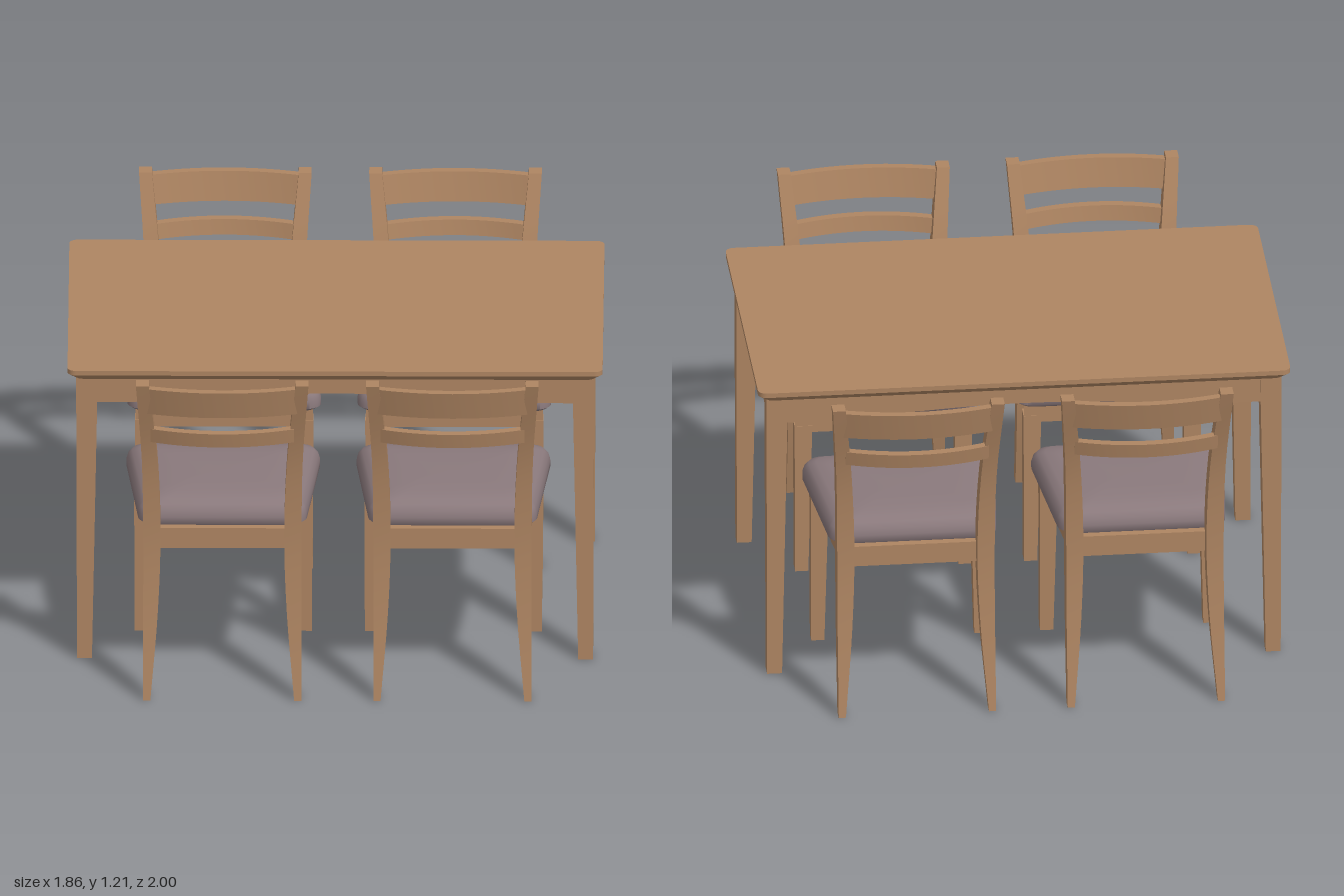
import * as THREE from 'three';
import { toCreasedNormals } from 'three/addons/utils/BufferGeometryUtils.js';

const wood = new THREE.MeshStandardMaterial({ color: 0xae8562 });
const fabric = new THREE.MeshStandardMaterial({ color: 0x8a797c });
const V = (x, y, z) => new THREE.Vector3(x, y, z);

// Skin a row of closed rings (each counter-clockwise about the travel direction) and cap both ends
function loft(rings, crease = 0.6) {
  const n = rings[0].length, last = rings.length - 1, pos = [], idx = [];
  const centre = r => r.reduce((s, p) => s.add(p), V(0, 0, 0)).divideScalar(n);
  [...rings.flat(), centre(rings[0]), centre(rings[last])].forEach(p => pos.push(p.x, p.y, p.z));
  const c0 = n * rings.length;
  for (let i = 0; i < n; i++) {
    const j = (i + 1) % n;
    for (let k = 0; k < last; k++) {
      const a = k * n + i, b = k * n + j;
      idx.push(a, b, b + n, a, b + n, a + n);
    }
    idx.push(c0, j, i, c0 + 1, last * n + i, last * n + j);
  }
  const g = new THREE.BufferGeometry();
  g.setAttribute('position', new THREE.Float32BufferAttribute(pos, 3));
  g.setIndex(idx);
  return toCreasedNormals(g, crease);
}

function add(parent, name, geometry, material = wood) {
  const mesh = new THREE.Mesh(geometry, material);
  mesh.name = name;
  parent.add(mesh);
  return mesh;
}

// Horizontal rectangle; x bounds may be mirrored by s
function rect(s, xa, xb, z0, z1, y) {
  const x0 = Math.min(s * xa, s * xb), x1 = Math.max(s * xa, s * xb);
  return [V(x1, y, z1), V(x1, y, z0), V(x0, y, z0), V(x0, y, z1)];
}

// Horizontal rounded trapezoid: half width wa at z0 and wb at z1
function roundTrapezoid(wa, wb, z0, z1, r, y, seg = 6) {
  const pts = [];
  const cz = (z0 + z1) / 2, hz = (z1 - z0) / 2;
  for (let q = 0; q < 4; q++) {
    const sx = q === 0 || q === 3 ? 1 : -1, sz = q < 2 ? -1 : 1;
    for (let i = 0; i <= seg; i++) {
      const a = (q + i / seg) * Math.PI / 2;
      const z = cz + sz * (hz - r) - r * Math.sin(a);
      const w = THREE.MathUtils.lerp(wa, wb, (z - z0) / (z1 - z0));
      pts.push(V(sx * (w - r) + r * Math.cos(a), y, z));
    }
  }
  return pts;
}

// Slat bowed backwards between the two back posts, leaning with them
function bowedRail(half, y0, y1, zBottom, zTop, thick, bow) {
  const rings = [];
  for (let i = 0; i <= 14; i++) {
    const x = half * (i / 7 - 1), b = bow * (1 - (x / half) ** 2);
    rings.push([V(x, y0, zBottom + b - thick), V(x, y1, zTop + b - thick),
      V(x, y1, zTop + b), V(x, y0, zBottom + b)]);
  }
  return loft(rings);
}

// Apron board with an arched lower edge, centred on z
function apron(half, thick) {
  const s = new THREE.Shape();
  s.moveTo(-half, 0.965);
  s.bezierCurveTo(-half * 0.6, 0.965, -half * 0.4, 1, 0, 1);
  s.bezierCurveTo(half * 0.4, 1, half * 0.6, 0.965, half, 0.965);
  s.lineTo(half, 1.065);
  s.lineTo(-half, 1.065);
  const g = new THREE.ExtrudeGeometry(s, { depth: thick, bevelEnabled: false, curveSegments: 12 });
  return toCreasedNormals(g.translate(0, 0, -thick / 2), 0.6);
}

function createTable() {
  const table = new THREE.Group();
  table.name = 'table';
  // Top with a chamfered underside edge
  const top = (inset, y) =>
    roundTrapezoid(0.93 - inset, 0.93 - inset, -0.58 + inset, 0.58 - inset, 0.03, y);
  add(table, 'tableTop', loft([top(0.025, 1.06), top(0, 1.083), top(0, 1.1)], 0.4));
  // Tapered legs
  for (const sx of [-1, 1]) for (const sz of [-1, 1]) {
    const ring = (xi, xo, zi, zo, y) =>
      rect(sx, xi, xo, Math.min(sz * zi, sz * zo), Math.max(sz * zi, sz * zo), y);
    add(table, 'tableLeg', loft([
      ring(0.845, 0.897, 0.495, 0.547, 0), ring(0.825, 0.9, 0.473, 0.55, 1.065)]));
  }
  // Aprons
  for (const s of [-1, 1]) {
    add(table, 'longApron', apron(0.83, 0.03)).position.z = s * 0.525;
    const side = add(table, 'shortApron', apron(0.48, 0.03));
    side.rotation.y = Math.PI / 2;
    side.position.x = s * 0.875;
  }
  return table;
}

// Chair with its back towards +z
function createChair() {
  const chair = new THREE.Group();
  chair.name = 'chair';
  // Back post profile: (front z, y, back z) and (inner x, y, outer x)
  const depth = new THREE.CatmullRomCurve3([V(0.87, 0, 0.92), V(0.812, 0.32, 0.882),
    V(0.79, 0.6, 0.868), V(0.82, 0.9, 0.89), V(0.915, 1.21, 0.97)]);
  const width = new THREE.CatmullRomCurve3([V(0.25, 0, 0.275), V(0.224, 0.32, 0.275),
    V(0.215, 0.6, 0.275), V(0.226, 0.9, 0.28), V(0.255, 1.21, 0.3)]);
  for (const s of [-1, 1]) {
    const rings = [];
    for (let i = 0; i <= 16; i++) {
      const d = depth.getPoint(i / 16), w = width.getPoint(i / 16);
      rings.push(rect(s, w.x, w.z, d.x, d.z, d.y));
    }
    add(chair, 'backPost', loft(rings));
    add(chair, 'frontLeg', loft([
      rect(s, 0.262, 0.308, 0.25, 0.3, 0), rect(s, 0.248, 0.31, 0.25, 0.312, 0.56)]));
  }
  // Seat frame, narrowing towards the back
  const frame = y => [V(0.25, y, 0.82), V(0.308, y, 0.252), V(-0.308, y, 0.252), V(-0.25, y, 0.82)];
  add(chair, 'seatFrame', loft([frame(0.535), frame(0.61)]));
  // Padded cushion: rings of [inset, y]
  const pad = [[0.012, 0.604], [0, 0.615], [0, 0.64], [0.006, 0.662], [0.02, 0.681],
    [0.045, 0.694], [0.09, 0.702], [0.16, 0.707], [0.22, 0.708]];
  add(chair, 'seatCushion', loft(pad.map(([d, y]) => roundTrapezoid(
    0.342 - d, 0.288 - d, 0.22 + d, 0.796 - d, Math.max(0.06 - d * 0.2, 0.01), y)), 0.9), fabric);
  // Backrest
  add(chair, 'topRail', bowedRail(0.275, 1.092, 1.195, 0.933, 0.957, 0.03, 0.042));
  add(chair, 'lowerSlat', bowedRail(0.25, 0.973, 1.027, 0.908, 0.919, 0.032, 0.048));
  return chair;
}

export function createModel() {
  const model = new THREE.Group();
  model.name = 'diningSet';
  model.add(createTable());
  // Two chairs on each long side
  for (const x of [-0.39, 0.41]) for (const turn of [0, Math.PI]) {
    const chair = createChair();
    chair.position.x = x;
    chair.rotation.y = turn;
    model.add(chair);
  }
  return model;
}
